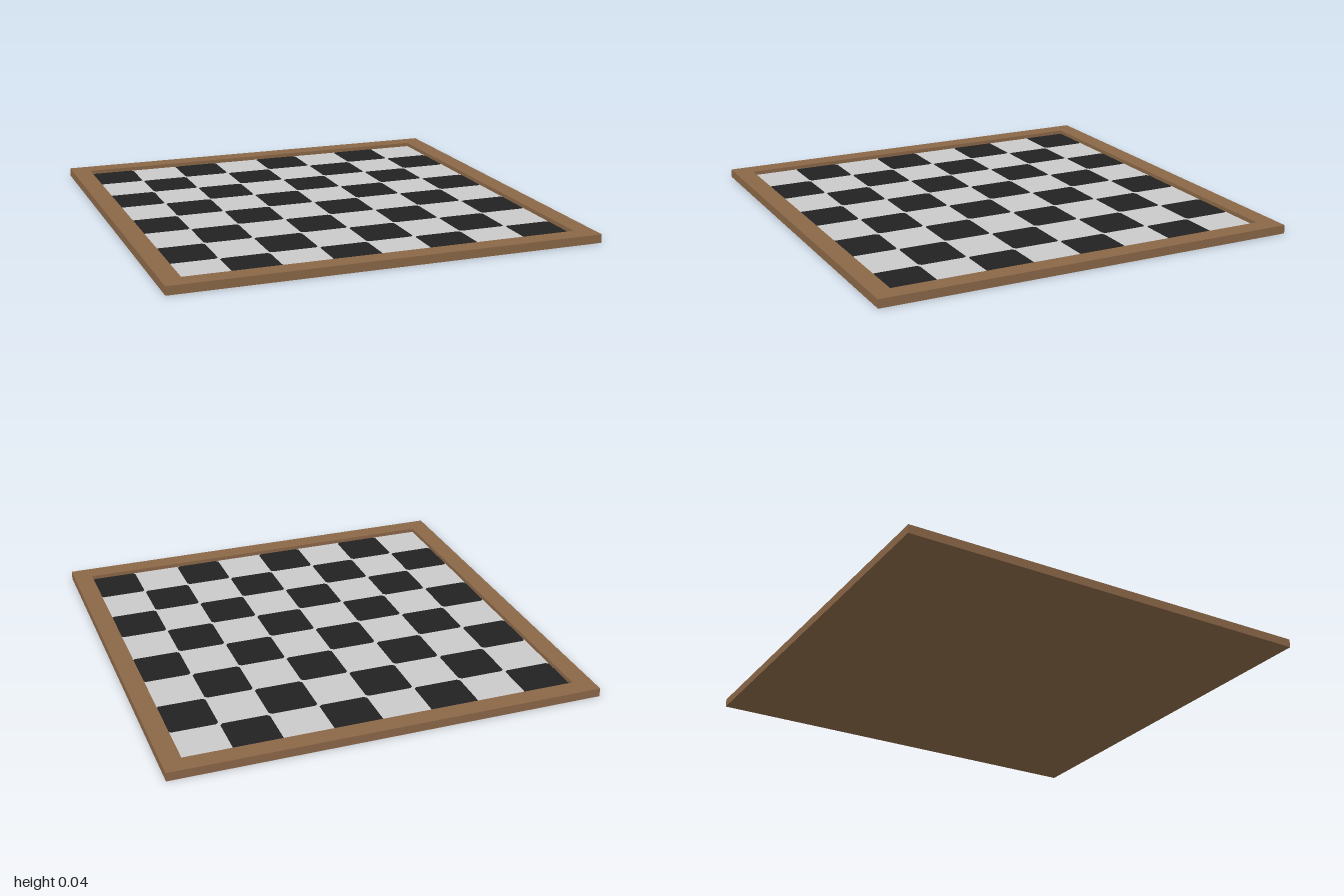
import * as THREE from 'three';

const INNER = 0.91;        // half width of the playing field
const FLOOR = 0.02;        // height of the recessed field
const TOP = 0.04;          // height of the rim
const CELL = (INNER * 2) / 8;

// Square outline with slightly clipped corners, centred on the origin
function clippedSquare(size, cut) {
  const h = size / 2, c = h - cut;
  return new THREE.Shape([
    [-c, -h], [c, -h], [h, -c], [h, c], [c, h], [-c, h], [-h, c], [-h, -c],
  ].map(([x, y]) => new THREE.Vector2(x, y)));
}

function squarePath(Type, h) {
  return new Type([[-h, -h], [h, -h], [h, h], [-h, h]].map(([x, y]) => new THREE.Vector2(x, y)));
}

export function createModel() {
  const wood = new THREE.MeshStandardMaterial({ color: 0x8b6848 });
  wood.name = 'brown wood';
  const light = new THREE.MeshStandardMaterial({ color: 0xcacaca });
  light.name = 'light squares';
  const dark = new THREE.MeshStandardMaterial({ color: 0x222222 });
  dark.name = 'dark squares';

  const board = new THREE.Group();
  board.name = 'checkerboard';
  const add = (parent, name, geometry, material) => {
    const mesh = new THREE.Mesh(geometry, material);
    mesh.name = name;
    parent.add(mesh);
    return mesh;
  };

  // Solid base slab
  add(board, 'base', new THREE.BoxGeometry(2, FLOOR, 2).translate(0, FLOOR / 2, 0), wood);

  // Raised rim around the field
  const outline = squarePath(THREE.Shape, 1);
  outline.holes.push(squarePath(THREE.Path, INNER));
  const rim = new THREE.ExtrudeGeometry(outline, { depth: TOP - FLOOR, bevelEnabled: false });
  add(board, 'rim', rim.rotateX(-Math.PI / 2).translate(0, FLOOR, 0), wood);

  // Light field
  const field = new THREE.PlaneGeometry(INNER * 2, INNER * 2).rotateX(-Math.PI / 2);
  add(board, 'lightField', field, light).position.y = FLOOR + 0.001;

  // Dark squares, starting at the back right corner
  const squares = new THREE.Group();
  squares.name = 'darkSquares';
  board.add(squares);
  const tile = new THREE.ShapeGeometry(clippedSquare(CELL - 0.002, 0.012)).rotateX(-Math.PI / 2);
  for (let row = 0; row < 8; row++) {
    for (let col = row % 2; col < 8; col += 2) {
      add(squares, 'darkSquare', tile, dark)
        .position.set(-INNER + (col + 0.5) * CELL, FLOOR + 0.002, -INNER + (row + 0.5) * CELL);
    }
  }
  return board;
}
